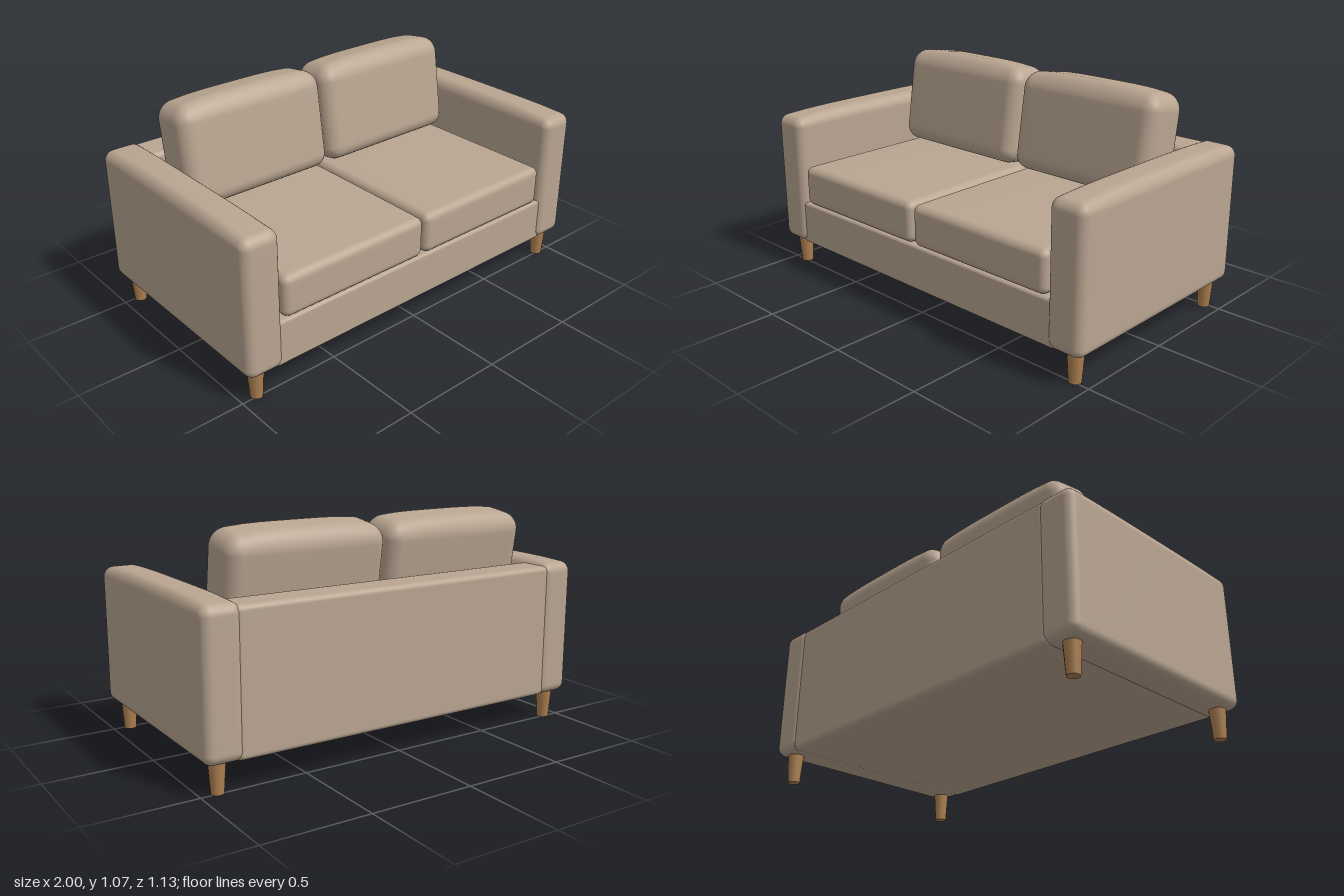
import * as THREE from 'three';
import { mergeVertices } from 'three/addons/utils/BufferGeometryUtils.js';

const fabric = new THREE.MeshStandardMaterial({ color: 0xb9a591 });
const wood = new THREE.MeshStandardMaterial({ color: 0xad8050 });

// Upholstered block: box with rounded edges of radius r and a top that swells by crown
function softBox(w, h, d, r, crown = 0) {
  const geo = new THREE.BoxGeometry(2, 2, 2, 16, 16, 16);
  geo.deleteAttribute('uv');
  geo.deleteAttribute('normal');
  const pos = geo.attributes.position;
  const half = [w / 2, h / 2, d / 2];
  const p = new THREE.Vector3();
  const dir = new THREE.Vector3();
  for (let i = 0; i < pos.count; i++) {
    p.fromBufferAttribute(pos, i);
    const core = [0, 1, 2].map((a) => {
      const u = p.getComponent(a);
      const s = Math.abs(u);
      // outer half of the grid turns the corner, inner half spans the flat
      dir.setComponent(a, s > 0.5 ? Math.sign(u) * Math.tan((s - 0.5) * Math.PI / 2) : 0);
      return Math.max(-1, Math.min(1, u * 2)) * (half[a] - r);
    });
    dir.normalize().multiplyScalar(r);
    p.fromArray(core).add(dir);
    const swell = (1 - (p.x / half[0]) ** 4) * (1 - (p.z / half[2]) ** 4);
    p.y += crown * Math.max(0, p.y / half[1]) * swell;
    pos.setXYZ(i, p.x, p.y, p.z);
  }
  const smooth = mergeVertices(geo, 1e-5);
  smooth.computeVertexNormals();
  return smooth;
}

export function createModel() {
  const sofa = new THREE.Group();
  sofa.name = 'sofa';

  function add(name, geo, mat, x, y, z) {
    const mesh = new THREE.Mesh(geo, mat);
    mesh.name = name;
    mesh.position.set(x, y, z);
    sofa.add(mesh);
    return mesh;
  }

  // Frame
  add('base', softBox(1.7, 0.22, 1.1, 0.015), fabric, 0, 0.25, 0);
  add('backrest', softBox(1.7, 0.65, 0.175, 0.025), fabric, 0, 0.465, -0.4725);

  const armGeo = softBox(0.185, 0.66, 1.13, 0.045, 0.015);
  const seatGeo = softBox(0.795, 0.2, 0.945, 0.035, 0.007);
  const backGeo = softBox(0.795, 0.475, 0.25, 0.07, 0.025);
  const legGeo = new THREE.CylinderGeometry(0.04, 0.029, 0.16, 12);

  for (const [side, s] of [['left', 1], ['right', -1]]) {
    add(side + 'Arm', armGeo, fabric, s * 0.9075, 0.47, 0);
    add(side + 'SeatCushion', seatGeo, fabric, s * 0.4035, 0.46, 0.0825);

    // Back cushion leans against the backrest
    const cushion = add(side + 'BackCushion', backGeo, fabric, s * 0.4035, 0.803, -0.262);
    cushion.rotation.x = -0.15;

    // Tapered feet
    for (const [end, z] of [['Front', 0.49], ['Back', -0.49]]) {
      add(side + end + 'Leg', legGeo, wood, s * 0.92, 0.08, z);
    }
  }
  return sofa;
}
